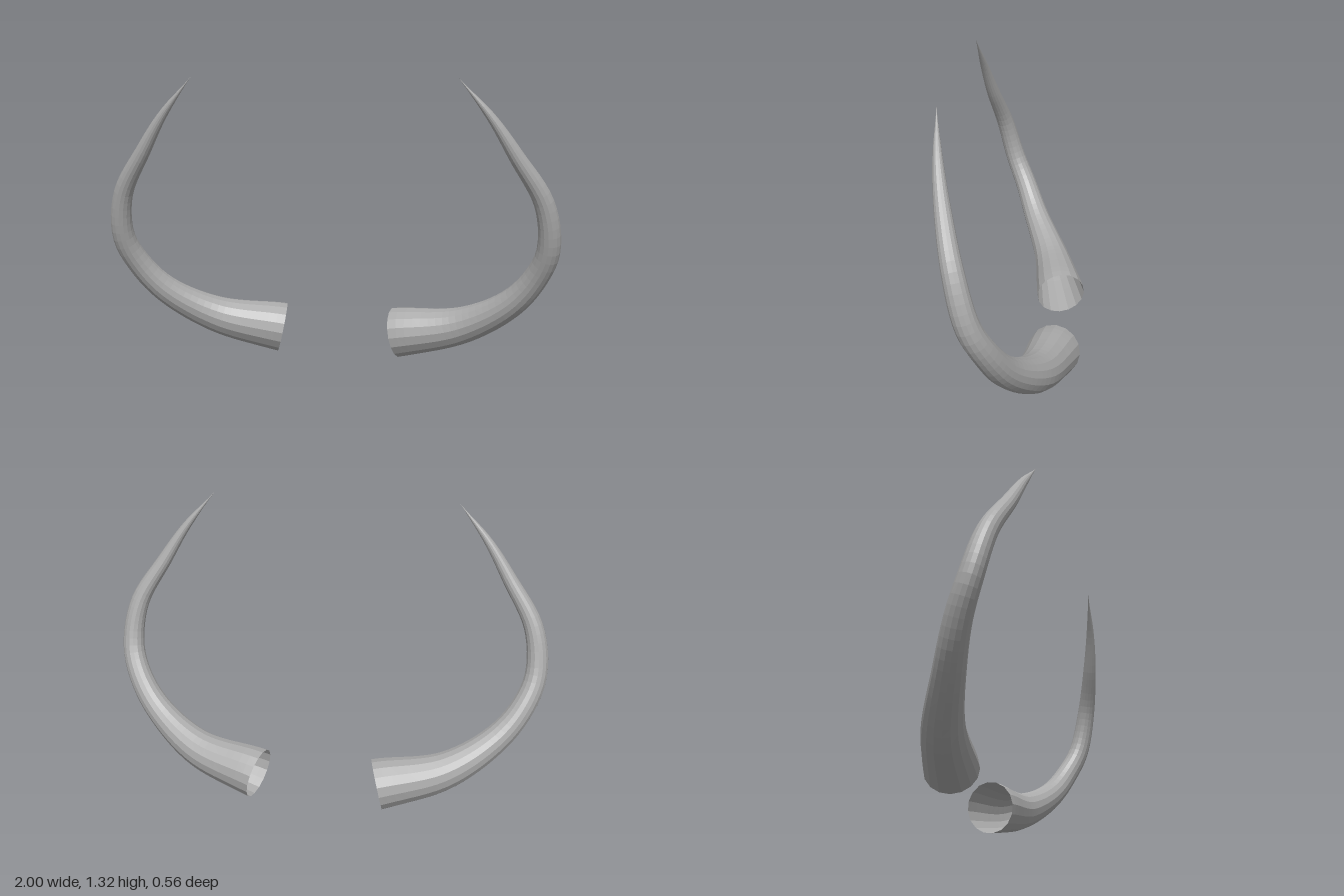
import * as THREE from 'three';

const SEGMENTS = 48, SIDES = 16;

// Centre line of the left horn, from the open base to the tip
const PATH = [
  [0.276, 0.118, -0.167], [0.58, 0.185, -0.1], [0.797, 0.32, -0.005],
  [0.905, 0.46, 0.06], [0.952, 0.6, 0.12], [0.925, 0.8, 0.172],
  [0.805, 1.0, 0.223], [0.7, 1.16, 0.253], [0.565, 1.32, 0.275],
];
// Radius at even steps along the length
const RADII = [0.117, 0.1, 0.082, 0.067, 0.057, 0.051, 0.046, 0.039, 0.03, 0.017, 0.0005];

// Tube whose rings are scaled to the taper
function hornGeometry(side) {
  const curve = new THREE.CatmullRomCurve3(PATH.map(([x, y, z]) => new THREE.Vector3(side * x, y, z)));
  const taper = new THREE.SplineCurve(RADII.map((r, i) => new THREE.Vector2(i, r)));
  const geometry = new THREE.TubeGeometry(curve, SEGMENTS, 1, SIDES, false);
  const pos = geometry.attributes.position;
  const v = new THREE.Vector3();
  for (let i = 0; i <= SEGMENTS; i++) {
    const u = i / SEGMENTS;
    const centre = curve.getPointAt(u);
    const radius = taper.getPoint(u).y;
    for (let j = 0; j <= SIDES; j++) {
      const k = i * (SIDES + 1) + j;
      v.fromBufferAttribute(pos, k).sub(centre).multiplyScalar(radius).add(centre);
      pos.setXYZ(k, v.x, v.y, v.z);
    }
  }
  geometry.computeVertexNormals();
  return geometry;
}

export function createModel() {
  const group = new THREE.Group();
  group.name = 'hornPair';
  const hornGrey = new THREE.MeshStandardMaterial({ color: 0xaaaaaa, flatShading: true, side: THREE.DoubleSide });
  hornGrey.name = 'hornGrey';
  for (const [name, side] of [['leftHorn', 1], ['rightHorn', -1]]) {
    const horn = new THREE.Mesh(hornGeometry(side), hornGrey);
    horn.name = name;
    group.add(horn);
  }
  return group;
}
